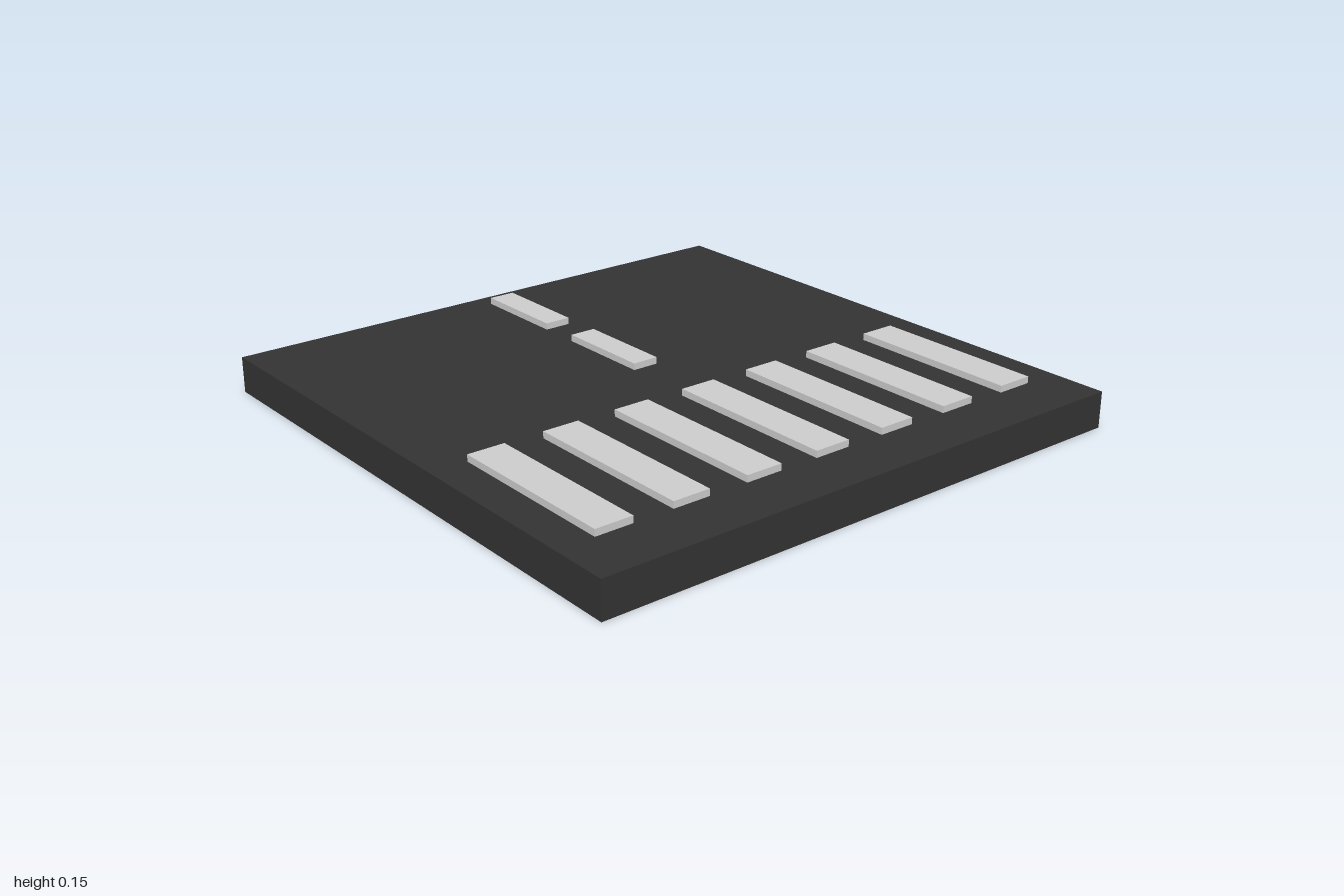
import * as THREE from 'three';

const SLAB_TOP = 0.125;
const PAINT_TOP = 0.148;

export function createModel() {
  const group = new THREE.Group();
  const asphalt = new THREE.MeshStandardMaterial({ color: 0x333333 });
  const paint = new THREE.MeshStandardMaterial({ color: 0xcccccc });

  // Box resting between two heights, centred on x and z
  const addBox = (name, material, x, z, width, depth, bottom, top) => {
    const mesh = new THREE.Mesh(new THREE.BoxGeometry(width, top - bottom, depth), material);
    mesh.position.set(x, (bottom + top) / 2, z);
    mesh.name = name;
    group.add(mesh);
  };

  // Road tile
  addBox('roadSlab', asphalt, 0, 0, 2, 2, 0, SLAB_TOP);

  // Pedestrian crossing: seven raised bars across the left half
  for (let i = -3; i <= 3; i++) {
    addBox(`crossingStripe${i + 4}`, paint, 0.495, i * 0.269, 0.617, 0.13, SLAB_TOP, PAINT_TOP);
  }

  // Centre line: two dashes along the right half
  [-0.755, -0.258].forEach((x, i) => {
    addBox(`laneDash${i + 1}`, paint, x, 0, 0.35, 0.094, SLAB_TOP, PAINT_TOP);
  });

  return group;
}
